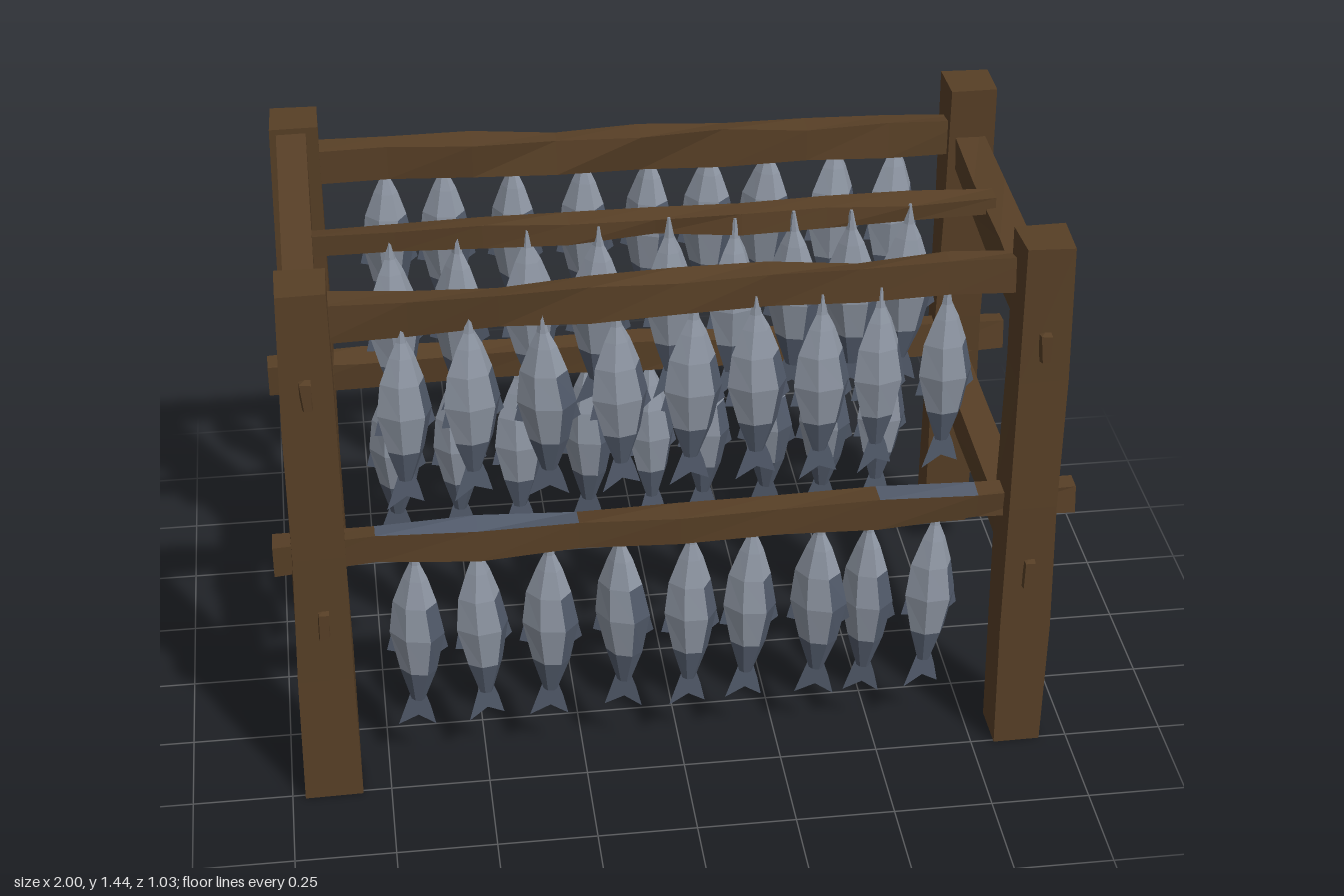
import * as THREE from 'three';
import { mergeGeometries } from 'three/addons/utils/BufferGeometryUtils.js';

const AXES = ['x', 'y', 'z'];

// repeatable pseudo-random value in -1..1
function noise(n) {
  const s = Math.sin(n * 127.1 + 11.7) * 43758.5453;
  return (s - Math.floor(s)) * 2 - 1;
}

// Rough-hewn timber between two points, running mainly along one axis.
// s0 and s1 are its cross sizes (x, y, z; the running one is ignored) at each end.
function timberGeometry(axis, a, b, s0, s1, segments = 1, wobble = 0, seed = 1) {
  const seg = AXES.map((k) => (k === axis ? segments : 1));
  const geo = new THREE.BoxGeometry(1, 1, 1, ...seg);
  const pos = geo.attributes.position;
  const p = new THREE.Vector3();
  for (let i = 0; i < pos.count; i++) {
    p.fromBufferAttribute(pos, i);
    const t = p[axis] + 0.5;
    const corner = Math.round(t * segments) * 8 + (p.x > 0 ? 1 : 0) + (p.y > 0 ? 2 : 0) + (p.z > 0 ? 4 : 0);
    const out = AXES.map((k, j) => {
      const centre = a[j] + (b[j] - a[j]) * t;
      if (k === axis) return centre;
      return centre + p[k] * (s0[j] + (s1[j] - s0[j]) * t) + wobble * noise(seed * 31 + corner * 3 + j);
    });
    pos.setXYZ(i, ...out);
  }
  geo.computeVertexNormals();
  return geo;
}

// Closed fish body, pointed nose up, lofted through six-sided sections.
// Group 0 is the pale flank, group 1 the dark back edge and tail root.
function fishBodyGeometry() {
  const rings = [ // y, half width, half depth, sideways shift
    [0.035, 0.004, 0.004, 0], [-0.02, 0.014, 0.01, 0], [-0.06, 0.032, 0.022, 0], [-0.13, 0.056, 0.038, -0.002],
    [-0.22, 0.07, 0.045, 0.002], [-0.33, 0.047, 0.027, 0.003], [-0.42, 0.017, 0.01, 0],
  ];
  const section = [[1, 0], [0.55, 1], [-0.35, 0.95], [-1, 0], [-0.35, -0.95], [0.55, -1]];
  const verts = [], pale = [], dark = [], n = section.length;
  for (const [y, w, d, shift] of rings)
    for (const [x, z] of section) verts.push(x * w + shift, y, z * d);
  for (let r = 0; r < rings.length - 1; r++)
    for (let i = 0; i < n; i++) {
      const a = r * n + i, b = r * n + (i + 1) % n;
      const backEdge = r >= 3 && (i === 0 || i === n - 1);
      (backEdge || r === rings.length - 2 ? dark : pale).push(a, b, a + n, b, b + n, a + n);
    }
  const last = (rings.length - 1) * n;
  for (let i = 1; i < n - 1; i++) {
    pale.push(0, i + 1, i);
    dark.push(last, last + i, last + i + 1);
  }
  const geo = new THREE.BufferGeometry();
  geo.setAttribute('position', new THREE.Float32BufferAttribute(verts, 3));
  geo.setIndex([...pale, ...dark]);
  geo.addGroup(0, pale.length, 0);
  geo.addGroup(pale.length, dark.length, 1);
  geo.computeVertexNormals();
  return geo;
}

// Forked tail and small side fins
function fishFinGeometry() {
  const flat = (pts) => new THREE.ShapeGeometry(new THREE.Shape(pts.map(([x, y]) => new THREE.Vector2(x, y))));
  const tail = flat([[-0.017, -0.395], [-0.032, -0.44], [-0.052, -0.5], [0, -0.47], [0.045, -0.495], [0.032, -0.44], [0.017, -0.395]]);
  const backFin = flat([[0.058, -0.17], [0.08, -0.26], [0.055, -0.28]]);
  const bellyFin = flat([[-0.058, -0.2], [-0.076, -0.275], [-0.052, -0.28]]);
  return mergeGeometries([tail, backFin, bellyFin]);
}

export function createModel() {
  const model = new THREE.Group();
  model.name = 'fishDryingRack';

  const material = (name, color, side = THREE.FrontSide) => {
    const m = new THREE.MeshStandardMaterial({ color, flatShading: true, side });
    m.name = name;
    return m;
  };
  const wood = material('darkWood', 0x573f26);
  const scales = material('silverScales', 0x8f97a4);
  const slate = material('slateFins', 0x525b6b, THREE.DoubleSide);

  const add = (name, geometry, mat = wood, parent = model) => {
    const mesh = new THREE.Mesh(geometry, mat);
    mesh.name = name;
    parent.add(mesh);
    return mesh;
  };
  const timber = (name, ...args) => add(name, timberGeometry(...args));

  // Four leaning posts
  for (const [side, x0, x1, w0, w1] of [['right', -0.895, -0.885, 0.14, 0.12], ['left', 0.868, 0.866, 0.125, 0.122]]) {
    timber(side + 'FrontPost', 'y', [x0, 0, 0.45], [x1, 1.44, 0.42], [w0, 0, 0.12], [w1, 0, 0.125], 4, 0.005, 1 + x0);
    timber(side + 'BackPost', 'y', [x0, 0.07, -0.452], [x1, 1.44, -0.43], [w0, 0, 0.105], [w1, 0, 0.12], 4, 0.005, 5 + x0);
  }

  // Long rails: a, b, height, depth
  const rails = [
    ['frontTopRail', [-0.86, 1.315, 0.37], [0.86, 1.325, 0.365], 0.09, 0.06],
    ['middleTopRail', [-0.87, 1.3, -0.025], [0.85, 1.295, -0.03], 0.055, 0.05],
    ['backTopRail', [-0.87, 1.315, -0.425], [0.87, 1.295, -0.425], 0.1, 0.06],
    ['frontLowerRail', [-1, 0.695, 0.42], [0.985, 0.71, 0.425], 0.08, 0.06],
    ['backLowerRail', [-1, 0.69, -0.425], [0.995, 0.685, -0.42], 0.09, 0.06],
  ];
  const railMeshes = rails.map(([name, a, b, h, d], i) =>
    timber(name, 'x', a, b, [0, h, d], [0, h * 0.9, d], 8, 0.009, i + 20));

  // Grey stretches on top of the front lower rail, near its two ends
  const greyed = railMeshes[3];
  const top = greyed.geometry.groups[2].start;
  greyed.geometry.clearGroups();
  [[0, top + 6, 0], [top + 6, 12, 1], [top + 18, 18, 0], [top + 36, 6, 1], [top + 42, Infinity, 0]]
    .forEach((g) => greyed.geometry.addGroup(...g));
  greyed.material = [wood, slate];

  // Cross braces with slim tenon ends showing through the posts
  for (const [side, x] of [['right', -0.89], ['left', 0.865]]) {
    timber(side + 'LowerBrace', 'z', [x, 0.575, -0.45], [x, 0.545, 0.43], [0.075, 0.09, 0], [0.075, 0.11, 0], 3, 0.004, 40 + x);
    for (const [z, y] of [[0.495, 0.53], [-0.495, 0.53], [0.487, 1.18], [-0.49, 1.25]])
      timber(side + 'Tenon', 'z', [x, y, z - 0.02], [x, y, z + 0.02], [0.03, 0.08, 0], [0.025, 0.075, 0], 1, 0.006, y + z);
  }
  timber('leftUpperBrace', 'z', [0.865, 1.26, -0.43], [0.865, 1.222, 0.43], [0.075, 0.09, 0], [0.085, 0.11, 0], 3, 0.004, 47);

  // Sagging upper brace on the other side, dipped near the front
  const dip = new THREE.Shape([[-0.4, 1.44], [-0.22, 1.32], [0.4, 1.43], [0.42, 1.23], [-0.42, 1.19]]
    .map(([z, y]) => new THREE.Vector2(z, y)));
  const sag = add('rightUpperBrace', new THREE.ExtrudeGeometry(dip, { depth: 0.075, bevelEnabled: false }));
  sag.rotation.y = Math.PI / 2;
  sag.position.x = -0.93;

  // Rows of hanging fish
  const body = fishBodyGeometry(), fin = fishFinGeometry();
  const columns = [-0.665, -0.505, -0.33, -0.147, 0.024, 0.184, 0.34, 0.475, 0.635];
  const rows = [ // name, y of nose, z, length scale, shift of the last two fish
    ['frontUpperFish', 1.275, 0.39, 0.965, 0], ['middleFish', 1.28, -0.005, 0.97, 0],
    ['backUpperFish', 1.28, -0.42, 0.97, 0.04],
    ['frontLowerFish', 0.66, 0.42, 1.04, 0], ['backLowerFish', 0.655, -0.42, 1.03, 0.04],
  ];
  rows.forEach(([name, y, z, scale, shift], r) => {
    columns.forEach((x, c) => {
      const k = r * 17 + c;
      const fish = new THREE.Group();
      fish.name = name;
      add('fishBody', body, [scales, slate], fish);
      add('fishFins', fin, slate, fish);
      fish.position.set(x + (c > 6 ? shift : 0) + 0.008 * noise(k), y + 0.008 * noise(k + 3), z);
      fish.rotation.set(0, 0.35 * noise(k + 7), 0.03 * noise(k + 5));
      fish.scale.set(1 + 0.06 * noise(k + 9), scale, 1);
      model.add(fish);
    });
  });

  return model;
}
